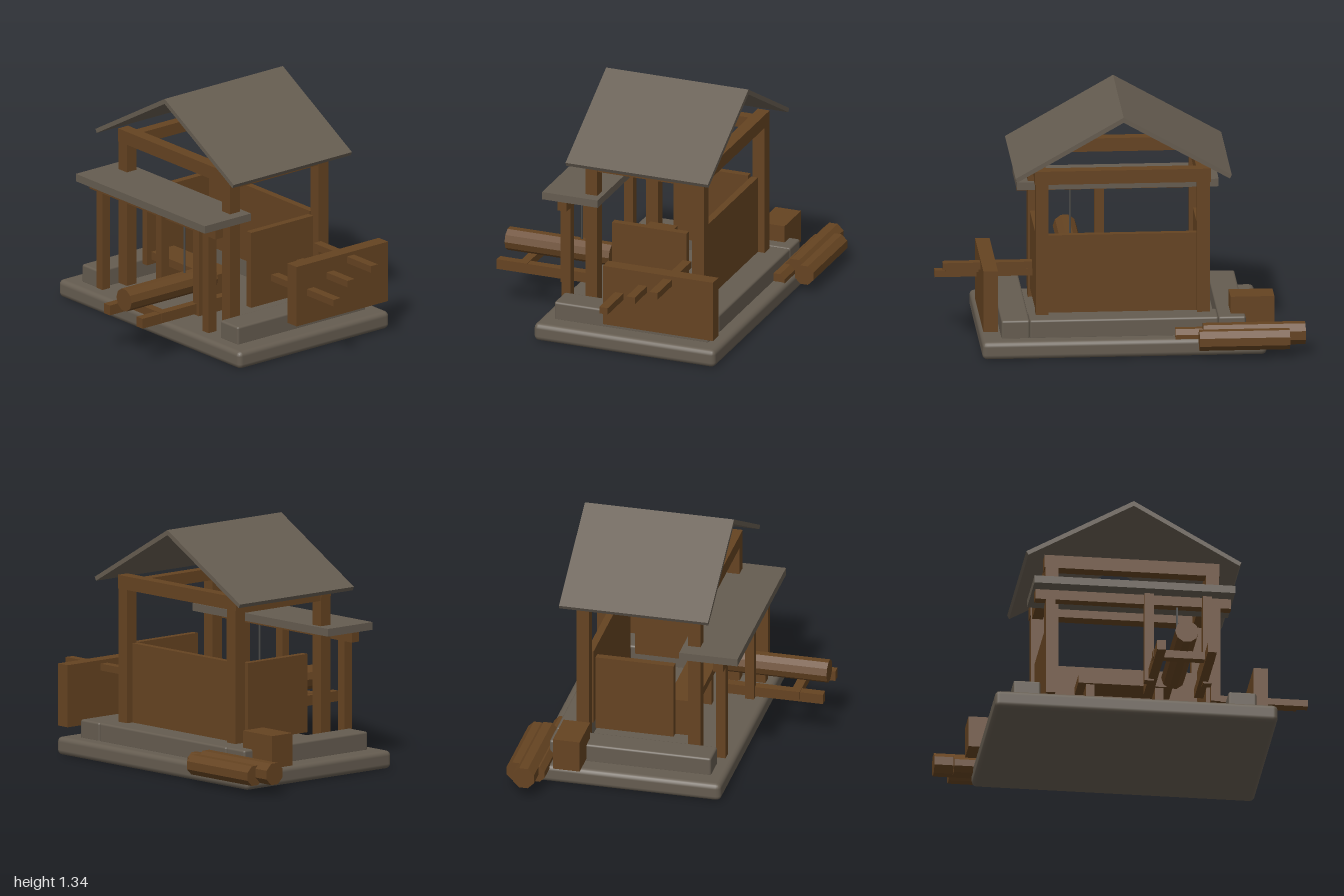
import * as THREE from 'three';
import { RoundedBoxGeometry } from 'three/addons/geometries/RoundedBoxGeometry.js';

const wood = new THREE.MeshStandardMaterial({ color: 0x654321 });
wood.name = 'wood';
const stone = new THREE.MeshStandardMaterial({ color: 0x655c50 });
stone.name = 'stone';
const rope = new THREE.MeshStandardMaterial({ color: 0x4a4a48 });
rope.name = 'rope grey';

export function createModel() {
  const model = new THREE.Group();
  model.name = 'openWorkshop';

  const add = (name, geometry, material, x = 0, y = 0, z = 0) => {
    const mesh = new THREE.Mesh(geometry, material);
    mesh.name = name;
    mesh.position.set(x, y, z);
    model.add(mesh);
    return mesh;
  };
  // Box given by its extents; a radius rounds its edges
  const box = (name, mat, [x0, x1], [y0, y1], [z0, z1], radius = 0) => {
    const size = [x1 - x0, y1 - y0, z1 - z0];
    const geo = radius ? new RoundedBoxGeometry(...size, 2, radius) : new THREE.BoxGeometry(...size);
    return add(name, geo, mat, (x0 + x1) / 2, (y0 + y1) / 2, (z0 + z1) / 2);
  };
  // Log along x or z
  const log = (name, axis, r, from, to, a, y, sides = 8) => {
    const geo = new THREE.CylinderGeometry(r, r, to - from, sides).toNonIndexed();
    geo.computeVertexNormals();
    geo.rotateY(Math.PI / sides);
    const mid = (from + to) / 2;
    if (axis === 'x') add(name, geo.rotateZ(Math.PI / 2), wood, mid, y, a);
    else add(name, geo.rotateX(Math.PI / 2), wood, a, y, mid);
  };

  // Stone base and the raised foundation on three sides
  box('baseSlab', stone, [-0.79, 0.77], [0, 0.1], [-0.67, 0.4], 0.028);
  box('rightFoundation', stone, [-0.68, -0.53], [0.09, 0.2], [-0.59, 0.32], 0.012);
  box('leftFoundation', stone, [0.505, 0.66], [0.09, 0.2], [-0.59, 0.32], 0.012);
  box('backFoundation', stone, [-0.53, 0.505], [0.09, 0.2], [-0.59, -0.42], 0.012);

  // Timber frame
  for (const x of [-0.455, 0.43]) {
    for (const z of [0.18, -0.45]) {
      box('mainPost', wood, [x - 0.035, x + 0.035], [0.12, 0.95], [z - 0.035, z + 0.035]);
    }
    box('sideBeam', wood, [x - 0.03, x + 0.03], [0.92, 0.985], [-0.484, 0.214]);
  }
  for (const z of [0.18, -0.45]) {
    box('crossBeam', wood, [-0.495, 0.47], [0.94, 1.015], [z - 0.035, z + 0.035]);
  }

  // Walls
  box('backWall', wood, [-0.42, 0.4], [0.2, 0.64], [-0.445, -0.405]);
  box('rightWall', wood, [-0.475, -0.435], [0.2, 0.635], [-0.38, 0.06]);
  box('leftWall', wood, [0.42, 0.46], [0.2, 0.635], [-0.38, 0.06]);

  // Gable roof
  const gable = new THREE.Shape([
    [-0.605, 0.998], [-0.594, 0.977], [-0.012, 1.306], [0.57, 0.977], [0.581, 0.998], [-0.012, 1.335],
  ].map(([x, y]) => new THREE.Vector2(x, y)));
  add('gableRoof', new THREE.ExtrudeGeometry(gable, { depth: 0.84, bevelEnabled: false }), stone, 0, 0, -0.555);

  // Porch
  for (const x of [-0.48, 0.43]) {
    box('porchPost', wood, [x - 0.026, x + 0.026], [0.12, 0.7], [0.305, 0.36]);
  }
  box('porchBeam', wood, [-0.565, 0.515], [0.68, 0.737], [0.305, 0.36]);
  box('porchRoof', stone, [-0.58, 0.527], [0.737, 0.78], [0.117, 0.445]);

  // Hoist: posts, rails, crossbar, hanging log
  for (const x of [0.06, 0.38]) {
    box('hoistPost', wood, [x - 0.025, x + 0.025], [0.21, 0.736], [0.335, 0.386]);
  }
  for (const x of [0.08, 0.36]) {
    box('hoistRail', wood, [x - 0.025, x + 0.025], [0.22, 0.277], [0.17, 0.77]);
  }
  box('hoistCrossbar', wood, [0.05, 0.39], [0.235, 0.28], [0.59, 0.64]);
  log('hangingLog', 'z', 0.065, 0.15, 0.765, 0.22, 0.34, 10);
  add('hoistRope', new THREE.CylinderGeometry(0.006, 0.006, 0.36, 6), rope, 0.22, 0.56, 0.335);

  // Bench
  box('benchTop', wood, [-0.3, 0.22], [0.29, 0.335], [-0.02, 0.14]);
  for (const x of [-0.232, 0.148]) {
    box('benchLeg', wood, [x - 0.023, x + 0.023], [0.1, 0.29], [0, 0.125]);
  }

  // Side rack with three pegs
  box('rackBoard', wood, [0.685, 0.765], [0.16, 0.505], [-0.66, -0.01]);
  for (const [half, y, z] of [[0.27, 0.342, -0.107], [0.22, 0.407, -0.247], [0.245, 0.466, -0.392]]) {
    box('rackPeg', wood, [0.725 - half, 0.725 + half], [y - 0.019, y + 0.019], [z - 0.025, z + 0.025]);
  }

  // Crate and log pile
  box('crate', wood, [-0.84, -0.6], [0.115, 0.295], [-0.53, -0.38]);
  log('pileLog', 'x', 0.064, -1, -0.44, -0.657, 0.121);
  log('pileLog', 'x', 0.059, -0.91, -0.415, -0.72, 0.107);
  log('pileLog', 'x', 0.05, -0.895, -0.29, -0.61, 0.1);

  return model;
}
